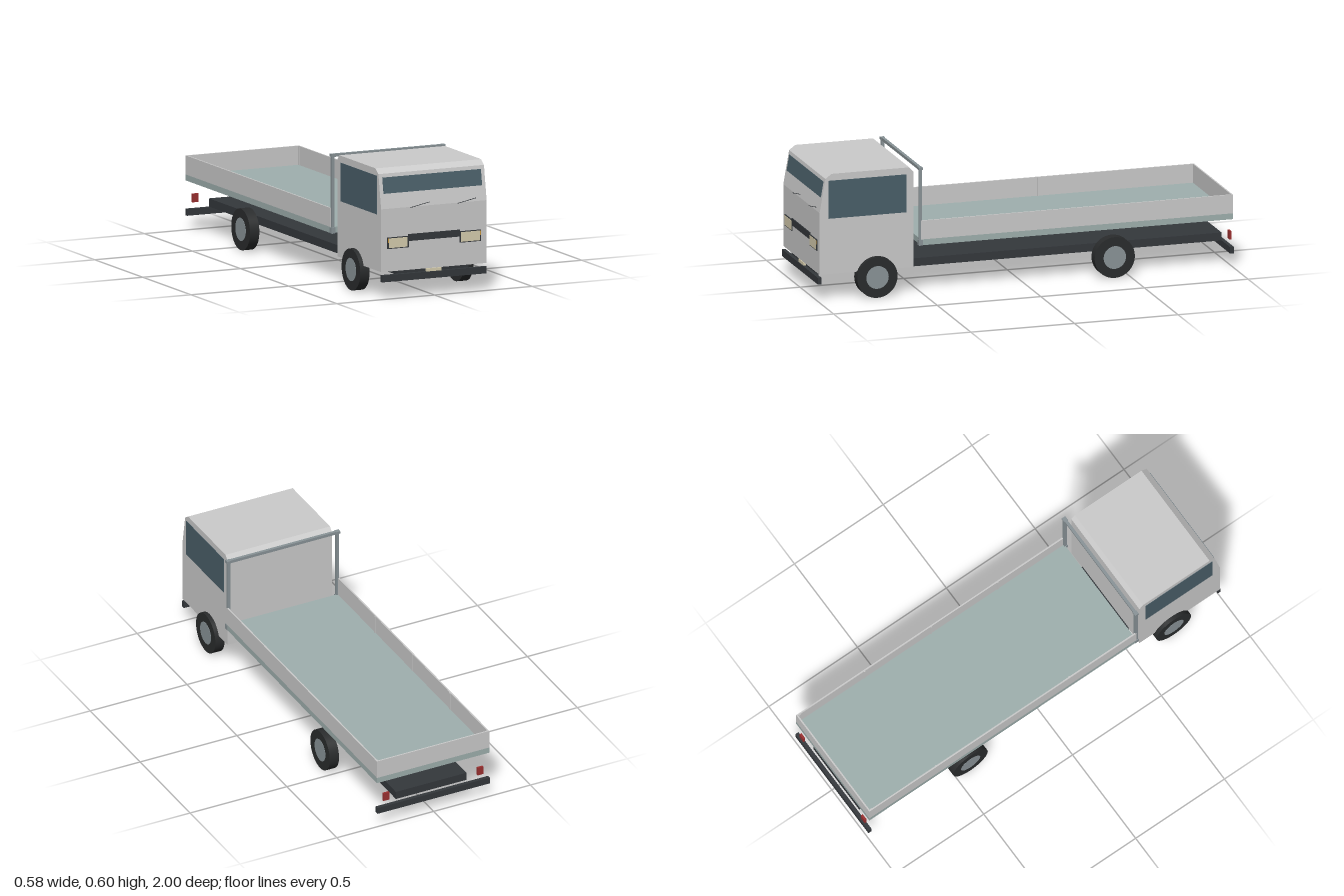
import * as THREE from 'three';

const mat = (color) => new THREE.MeshStandardMaterial({ color });
const grey = mat(0xcccccc), dark = mat(0x34383c), glass = mat(0x4a5f69), tyre = mat(0x2a2c2d),
  steel = mat(0x8a9498), deck = mat(0x9fb0ae), cream = mat(0xd8cfb0), amber = mat(0xc8963c), red = mat(0x9c3030);

export function createModel() {
  const truck = new THREE.Group();
  truck.name = 'flatbedTruck';

  const add = (name, geometry, material, x = 0, y = 0, z = 0) => {
    const mesh = new THREE.Mesh(geometry, material);
    mesh.name = name;
    mesh.position.set(x, y, z);
    truck.add(mesh);
    return mesh;
  };
  // box given by its limits on each axis
  const box = (name, material, [x0, x1], [y0, y1], [z0, z1]) =>
    add(name, new THREE.BoxGeometry(x1 - x0, y1 - y0, z1 - z0), material,
      (x0 + x1) / 2, (y0 + y1) / 2, (z0 + z1) / 2);
  // the same box on both sides of the truck
  const pair = (name, material, [x0, x1], ys, zs) => {
    box(name + 'Left', material, [x0, x1], ys, zs);
    box(name + 'Right', material, [-x1, -x0], ys, zs);
  };

  // cab: side profile (z, y) extruded across the width
  const profile = [[0.54, 0.127], [0.993, 0.127], [0.993, 0.42], [0.965, 0.58],
    [0.935, 0.602], [0.56, 0.602], [0.54, 0.58]];
  const cab = new THREE.ExtrudeGeometry(
    new THREE.Shape(profile.map(([z, y]) => new THREE.Vector2(z, y))),
    { depth: 0.54, bevelEnabled: false });
  cab.rotateY(-Math.PI / 2).translate(0.27, 0, 0);
  add('cab', cab, grey);

  // glazing
  pair('sideWindow', glass, [0.268, 0.272], [0.39, 0.57], [0.575, 0.95]);
  const slope = Math.atan2(0.028, 0.16);
  const slantZ = (y) => 0.993 - (y - 0.42) * 0.175;
  add('windshield', new THREE.BoxGeometry(0.504, 0.075, 0.004), glass, 0, 0.526, slantZ(0.526))
    .rotation.x = -slope;

  // wipers
  for (const x of [-0.072, 0.168]) {
    const wiper = add('wiper', new THREE.BoxGeometry(0.098, 0.0025, 0.004), dark, x, 0.426, slantZ(0.426) + 0.002);
    wiper.rotation.set(-slope, 0, 0.185);
  }

  // front face: grille, lamps, bumper, plate
  box('grille', dark, [-0.132, 0.132], [0.262, 0.294], [0.985, 0.998]);
  pair('headlampFrame', dark, [0.13, 0.24], [0.233, 0.286], [0.985, 0.997]);
  pair('headlamp', cream, [0.137, 0.232], [0.237, 0.282], [0.985, 0.999]);
  pair('indicator', amber, [0.232, 0.237], [0.262, 0.282], [0.985, 0.999]);
  box('frontBumper', dark, [-0.267, 0.267], [0.08, 0.112], [0.983, 1]);
  box('numberPlate', cream, [-0.038, 0.038], [0.1, 0.126], [0.98, 0.996]);

  // chassis and rear end
  box('chassis', dark, [-0.182, 0.182], [0.105, 0.143], [-0.975, 0.983]);
  box('rearBumper', dark, [-0.29, 0.29], [0.069, 0.1], [-1, -0.982]);
  pair('tailLamp', red, [0.228, 0.258], [0.128, 0.168], [-0.998, -0.988]);

  // load bed, open toward the cab
  box('bedFloor', deck, [-0.29, 0.29], [0.232, 0.26], [-0.995, 0.51]);
  pair('sideBoard', grey, [0.283, 0.29], [0.26, 0.349], [-0.995, 0.51]);
  box('tailBoard', grey, [-0.283, 0.283], [0.26, 0.349], [-0.995, -0.988]);
  for (const z of [0.135, -0.24, -0.615, -0.98])
    pair('boardRib', grey, [0.28, 0.284], [0.26, 0.347], [z - 0.004, z + 0.004]);

  // headboard frame behind the cab
  pair('headPost', steel, [0.274, 0.288], [0.23, 0.6], [0.504, 0.518]);
  pair('headPostCap', steel, [0.271, 0.292], [0.59, 0.602], [0.501, 0.521]);
  pair('headPostFoot', steel, [0.271, 0.292], [0.232, 0.258], [0.501, 0.521]);
  box('headRail', steel, [-0.274, 0.274], [0.588, 0.602], [0.504, 0.518]);

  // wheels
  const tyreGeo = new THREE.CylinderGeometry(0.097, 0.097, 0.048, 40).rotateZ(Math.PI / 2);
  const hubGeo = new THREE.CylinderGeometry(0.054, 0.054, 0.05, 32).rotateZ(Math.PI / 2);
  for (const z of [0.72, -0.425])
    for (const side of [-1, 1]) {
      add('tyre', tyreGeo, tyre, side * 0.266, 0.097, z);
      add('hub', hubGeo, steel, side * 0.266, 0.097, z);
    }

  return truck;
}
